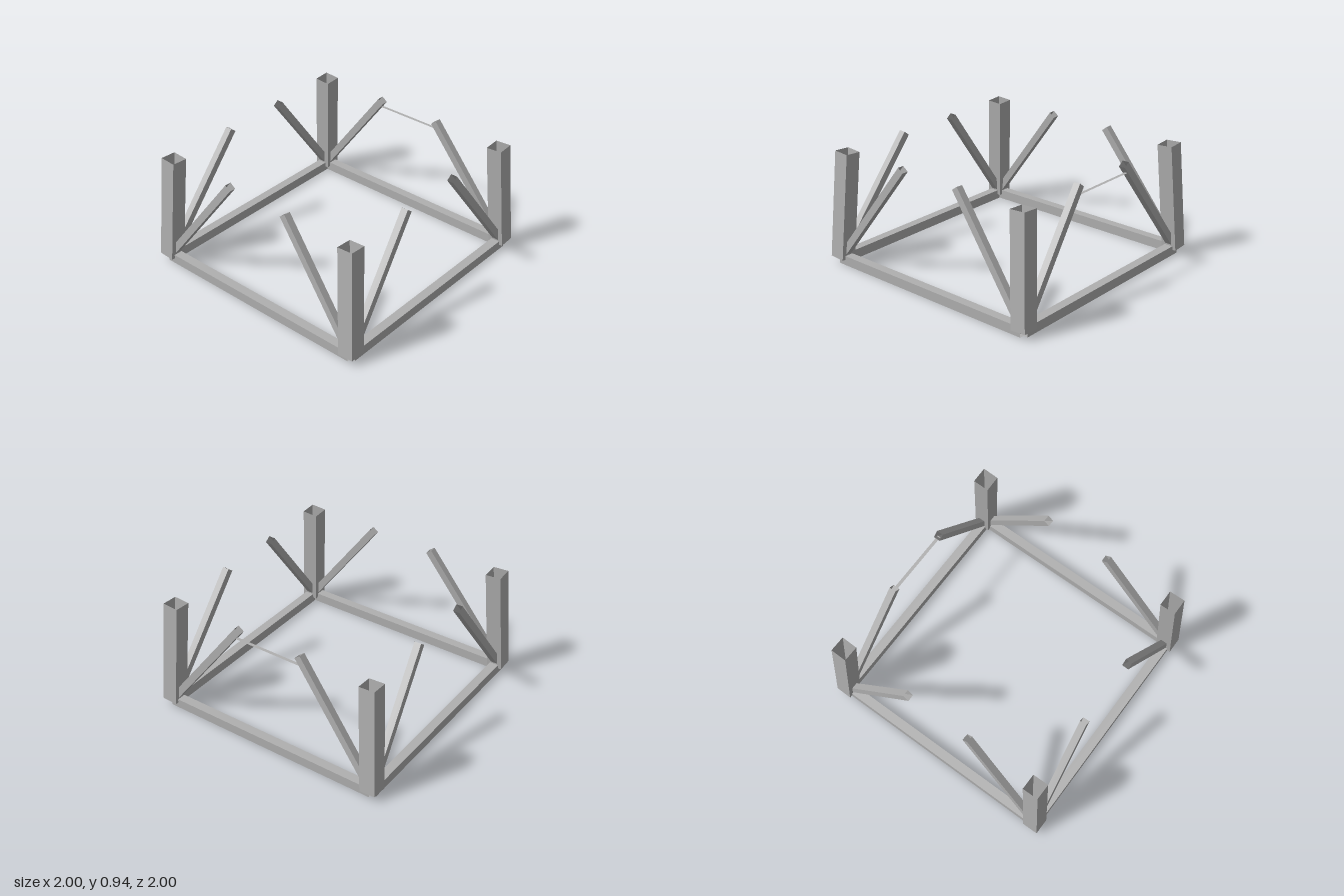
import * as THREE from 'three';

const steel = new THREE.MeshStandardMaterial({ color: 0xb0b0b0, flatShading: true, side: THREE.DoubleSide });
steel.name = 'grey steel';

// Open-ended thin rectangular tube from a to b; depth is measured along the hint direction.
function tube(name, a, b, width, depth, hint) {
  const start = new THREE.Vector3(...a), end = new THREE.Vector3(...b);
  const y = end.clone().sub(start);
  const length = y.length();
  y.normalize();
  const z = new THREE.Vector3(...hint);
  z.addScaledVector(y, -z.dot(y)).normalize();
  const x = new THREE.Vector3().crossVectors(y, z);

  let geometry = new THREE.CylinderGeometry(Math.SQRT1_2, Math.SQRT1_2, length, 4, 1, true, Math.PI / 4);
  geometry.scale(width, 1, depth);
  geometry = geometry.toNonIndexed();
  geometry.computeVertexNormals();
  const mid = start.add(end).multiplyScalar(0.5);
  geometry.applyMatrix4(new THREE.Matrix4().makeBasis(x, y, z).setPosition(mid));
  const mesh = new THREE.Mesh(geometry, steel);
  mesh.name = name;
  return mesh;
}

export function createModel() {
  const model = new THREE.Group();
  model.name = 'steelFrame';

  // Base beams, stopping at the corner centres
  const c = 0.935, beam = 0.078;
  for (const s of [-1, 1]) {
    model.add(tube(s > 0 ? 'frontBeam' : 'backBeam', [-c, beam / 2, s * c], [c, beam / 2, s * c], beam, 0.073, [0, 0, 1]));
    model.add(tube(s > 0 ? 'leftBeam' : 'rightBeam', [s * c, beam / 2, -c], [s * c, beam / 2, c], beam, 0.073, [1, 0, 0]));
  }

  // Inward-leaning corner posts, each with two diagonal braces in the leaning side planes
  for (const sx of [-1, 1]) {
    for (const sz of [-1, 1]) {
      const corner = (sz > 0 ? 'front' : 'back') + (sx > 0 ? 'Left' : 'Right');
      const foot = [sx * c, 0.047, sz * c];
      model.add(tube(corner + 'Post', foot, [sx * 0.88, 0.925, sz * 0.88], 0.13, 0.13, [0, 0, 1]));
      model.add(tube(corner + 'BraceAcross', foot, [sx * 0.272, 0.922, sz * 0.882], 0.057, 0.055, [0, 0, 1]));
      model.add(tube(corner + 'BraceAlong', foot, [sx * 0.882, 0.922, sz * 0.272], 0.057, 0.055, [1, 0, 0]));
    }
  }

  // Flat strip joining the two back braces
  const strip = new THREE.PlaneGeometry(0.59, 0.026);
  strip.rotateX(-Math.PI / 2);
  strip.translate(0, 0.855, -0.897);
  const tie = new THREE.Mesh(strip, steel);
  tie.name = 'backTieStrip';
  model.add(tie);

  return model;
}
